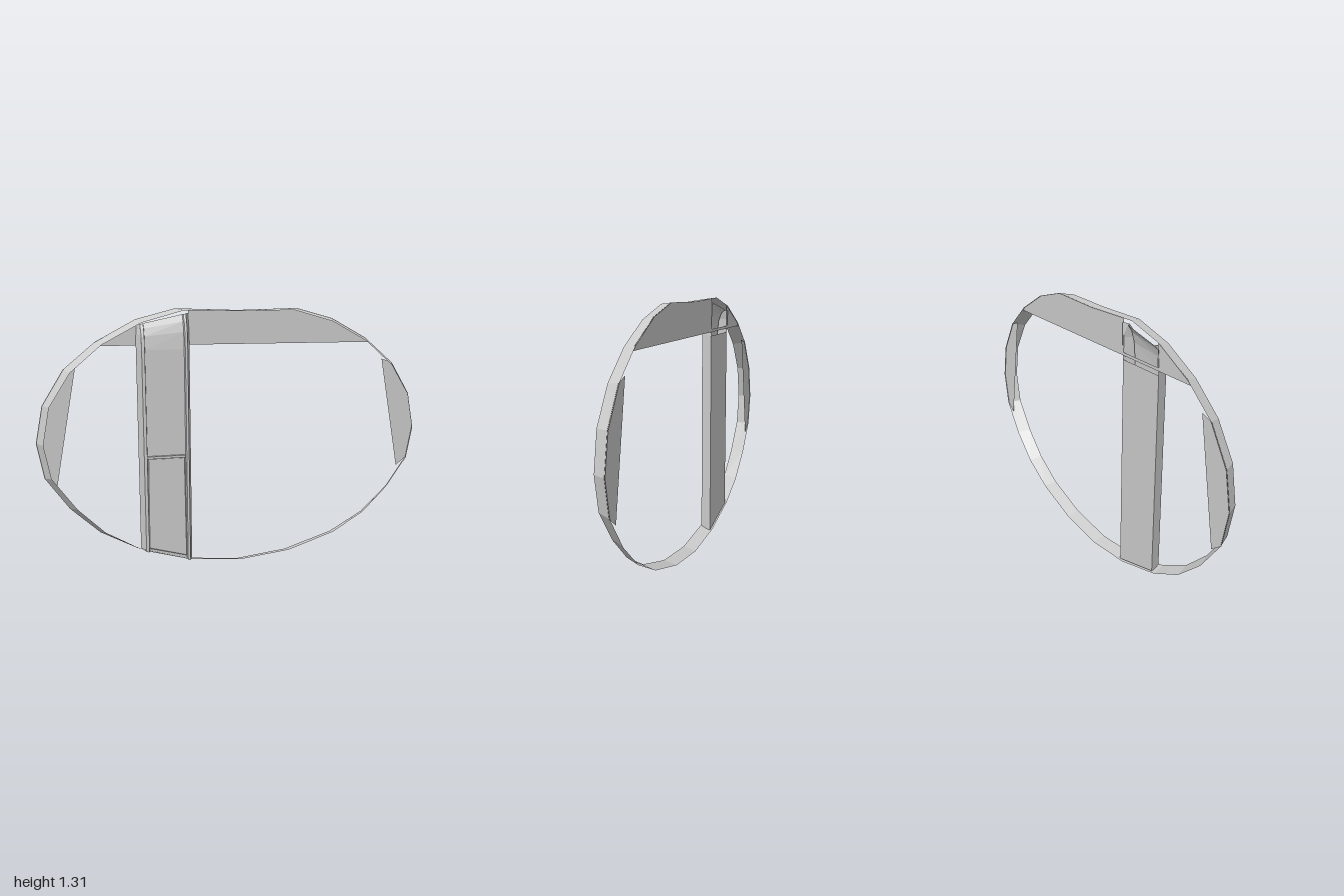
import * as THREE from 'three';

const BACK = -0.035, FRONT = 0.032;
const material = new THREE.MeshStandardMaterial({ color: 0xcccccc, side: THREE.DoubleSide, flatShading: true });

// Half outlines of the hoop, bottom centre to top centre
const backHalf = [[0, 0.005], [0.27, 0.033], [0.53, 0.112], [0.71, 0.21], [0.855, 0.345], [0.968, 0.505], [1, 0.68],
  [0.965, 0.86], [0.86, 1.03], [0.705, 1.16], [0.51, 1.265], [0.315, 1.317], [0, 1.308]];
const frontHalf = [[0, 0.022], [0.27, 0.05], [0.52, 0.128], [0.69, 0.228], [0.82, 0.355], [0.935, 0.515], [0.966, 0.68],
  [0.932, 0.86], [0.83, 1.02], [0.68, 1.148], [0.49, 1.25], [0.28, 1.308], [0, 1.303]];
const mirror = (half) => [...half, ...half.slice(1, -1).reverse().map(([x, y]) => [-x, y])];

// Skin a list of equally long cross-sections
function loft(rows, closed) {
  const n = rows[0].length, index = [];
  for (let r = 0; r < rows.length - 1; r++) {
    for (let i = 0; i < (closed ? n : n - 1); i++) {
      const a = r * n + i, b = r * n + (i + 1) % n;
      index.push(a, b, b + n, a, b + n, a + n);
    }
  }
  const g = new THREE.BufferGeometry();
  g.setAttribute('position', new THREE.Float32BufferAttribute(rows.flat(2), 3));
  g.setIndex(index);
  g.computeVertexNormals();
  return g;
}

export function createModel() {
  const model = new THREE.Group();
  const add = (name, geometry) => {
    const mesh = new THREE.Mesh(geometry, material);
    mesh.name = name;
    model.add(mesh);
    return mesh;
  };
  const plate = (name, points) => {
    const shape = new THREE.Shape(points.map(([x, y]) => new THREE.Vector2(x, y)));
    add(name, new THREE.ShapeGeometry(shape)).position.z = BACK + 0.004;
  };

  // Tapered oval hoop
  add('hoop', loft([
    mirror(backHalf).map(([x, y]) => [x, y, BACK]),
    mirror(frontHalf).map(([x, y]) => [x, y, FRONT]),
  ], true));

  // Flat fillers across the top, open behind the post
  const arch = backHalf.slice(9);
  plate('topPanel', [[-0.25, 1.14], [0.72, 1.14], ...arch, [-0.25, 1.315]]);
  plate('topCornerPanel', [[-0.72, 1.14], [-0.5, 1.14], [-0.5, 1.265], [-0.705, 1.16]]);
  plate('topBar', [[-0.5, 1.14], [-0.25, 1.14], [-0.25, 1.155], [-0.5, 1.155]]);

  // Flat fillers at both sides
  for (const s of [1, -1]) {
    plate(s > 0 ? 'leftSidePanel' : 'rightSidePanel',
      [[0.91, 0.46], ...backHalf.slice(5, 9), [0.8, 1.05]].map(([x, y]) => [s * x, y]));
  }

  // Upright post: shallow channel section that leans back at the top
  const section = [[-0.51, BACK + 0.005], [-0.49, 0.027], [-0.475, 0.027], [-0.472, 0.012], [-0.28, 0.012],
    [-0.277, 0.027], [-0.265, 0.027], [-0.245, BACK + 0.005]];
  const footY = (x) => 0.11 - (x + 0.5) * 0.29;
  const topY = (x) => 1.24 + (x + 0.5) * 0.22;
  const lean = (dy, dz) => section.map(([x, z]) => [x, 1.12 + (topY(x) - 1.12) * dy, Math.max(BACK, z - dz)]);
  const foot = section.map(([x, z]) => [x, footY(x), z]);
  add('post', loft([foot, lean(0, 0)], true));
  add('postTop', loft([lean(0, 0), lean(0.5, 0.007), lean(0.8, 0.02), lean(1, 0.042)].map((r) => r.slice(1, -1)), false));
  add('postTopSides', loft([lean(0, 0), lean(0.6, 0.01), lean(1, 0.042)].map((r) => [r[7], r[6]]), false));
  add('postTopSides', loft([lean(0, 0), lean(0.6, 0.01), lean(1, 0.042)].map((r) => [r[0], r[1]]), false));

  // Raised insert on the lower post, with a bevelled upper ledge
  const insert = new THREE.Shape([[-0.475, 0.12], [-0.28, 0.065], [-0.284, 0.585], [-0.471, 0.585]]
    .map(([x, y]) => new THREE.Vector2(x, y)));
  const insertMesh = add('lowerInsert', new THREE.ExtrudeGeometry(insert,
    { depth: 0.006, bevelThickness: 0.004, bevelSize: 0.004, bevelOffset: -0.004, bevelSegments: 1 }));
  insertMesh.position.z = 0.008;
  const ledge = add('insertLedge', new THREE.BoxGeometry(0.19, 0.012, 0.018));
  ledge.position.set(-0.378, 0.59, 0.018);

  return model;
}
